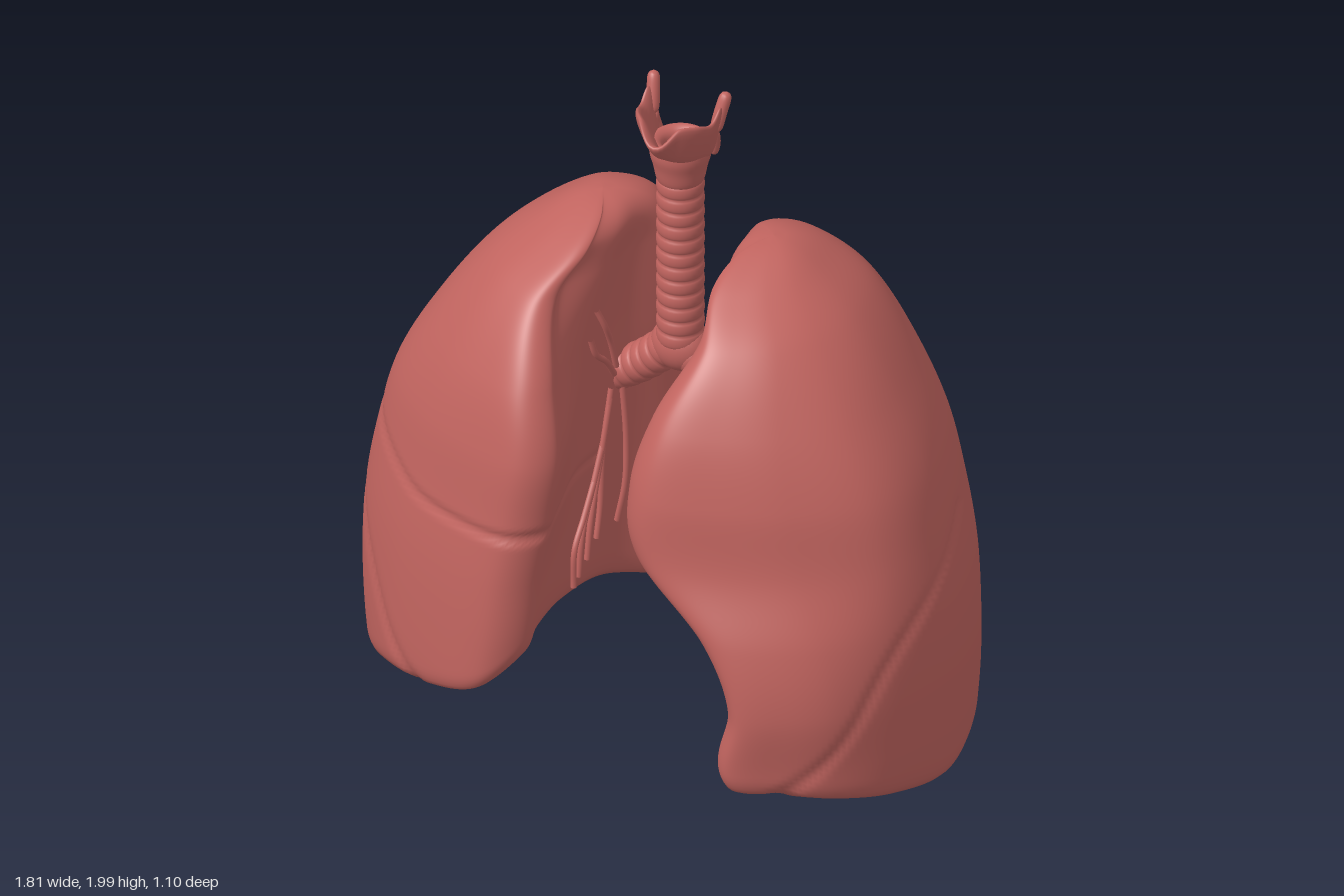
import * as THREE from 'three';

const tissue = new THREE.MeshStandardMaterial({ color: 0xc1645f });
tissue.name = 'tissue red';
const V = (x, y, z) => new THREE.Vector3(x, y, z);
const lerp = THREE.MathUtils.lerp;

// Smooth surface closed around u, open along v
function grid(nu, nv, point, flip = false) {
  const pos = [], idx = [];
  for (let j = 0; j <= nv; j++) for (let i = 0; i < nu; i++) pos.push(...point(i, j).toArray());
  for (let j = 0; j < nv; j++) for (let i = 0; i < nu; i++) {
    const a = j * nu + i, b = j * nu + (i + 1) % nu, c = a + nu, d = b + nu;
    if (flip) idx.push(a, c, b, b, c, d); else idx.push(a, b, c, b, d, c);
  }
  const g = new THREE.BufferGeometry();
  g.setAttribute('position', new THREE.Float32BufferAttribute(pos, 3));
  g.setIndex(idx);
  g.computeVertexNormals();
  return g;
}

function add(parent, name, geometry) {
  const m = new THREE.Mesh(geometry, tissue);
  m.name = name;
  parent.add(m);
  return m;
}

// Lung levels: y, medial back x, lateral x, back z, front z
const TOP = 1.57;
const LEVELS = [
  [1.57, .27, .27, -.13, -.13], [1.55, .195, .35, -.235, .0], [1.5, .15, .43, -.325, .13],
  [1.4, .125, .555, -.41, .275], [1.2, .115, .70, -.473, .42], [1.0, .115, .805, -.503, .485],
  [.8, .115, .86, -.518, .505], [.6, .115, .895, -.532, .525], [.4, .115, .905, -.54, .535],
  [.2, .12, .90, -.545, .53], [0, .14, .885, -.525, .50],
];
const HILUM = [.27, .2, .175, .19, .205, .21, .22, .235, .25, .27, .29];
const LUNGS = {
  leftLung: {
    side: 1, shift: -.004,
    front: [.27, .215, .2, .23, .15, .11, .14, .36, .455, .42, .47],
    rim: [.24, .17, .1, .06, .03, .01, .01, .05, .1, .13, .13, .15, .22, .29, .30],
  },
  rightLung: {
    side: -1, shift: .012,
    front: [.27, .215, .2, .23, .17, .125, .14, .17, .19, .23, .28],
    rim: [.24, .17, .1, .06, .05, .03, .02, .05, .12, .17, .24, .35, .37, .33, .31],
  },
};
const smoothLine = pts => new THREE.SplineCurve(pts.map(p => new THREE.Vector2(...p))).getPoints(14);
const OBLIQUE = smoothLine([[.48, .13], [.4, .25], [.25, .5], [.05, .68], [-.2, .81]]);
const HORIZONTAL = smoothLine([[.84, .88], [.8, .84], [.65, .775], [.5, .75], [.14, .77]]);

function distanceTo(line, a, b) {
  let best = 9;
  for (let i = 1; i < line.length; i++) {
    const { x, y } = line[i - 1], dx = line[i].x - x, dy = line[i].y - y;
    const t = THREE.MathUtils.clamp(((a - x) * dx + (b - y) * dy) / (dx * dx + dy * dy), 0, 1);
    best = Math.min(best, Math.hypot(a - x - t * dx, b - y - t * dy));
  }
  return best;
}

// Kidney-shaped horizontal outline with a thin front edge
function outline([, xi, xo, zb, zf], xh, xf, n) {
  const w = xo - xi, d = zf - zb;
  const pts = [
    [xi, .24], [xi + .03 * w, .14], [xi + .17 * w, .04], [xi + .42 * w, 0], [xi + .73 * w, .06],
    [xi + .9 * w, .2], [xo, .47], [xi + .94 * w, .69],
    [lerp(xf, xo, .68), .86], [lerp(xf, xo, .38), .96], [lerp(xf, xo, .13), 1],
    [xf, .93], [xf + .03 * w, .82], [xh, .6], [xh - .04 * w, .42],
  ].map(([x, f]) => V(x, 0, zb + f * d));
  const c = new THREE.CatmullRomCurve3(pts, true, 'catmullrom', .5);
  return Array.from({ length: n }, (_, i) => c.getPoint(i / n));
}

function lungGeometry({ side, shift, front, rim }) {
  const N = 180, ROWS = 120, UNDER = 22;
  const rings = LEVELS.map((l, k) => outline(l, HILUM[k], front[k], N));
  const q = LEVELS.map(l => Math.sqrt(TOP - l[0]));
  const rimCurve = new THREE.CatmullRomCurve3(rim.map(y => V(0, y, 0)), true, 'catmullrom', .5);
  const slope = (i, k, ax) => {
    const a = Math.max(k - 1, 0), b = Math.min(k + 1, q.length - 1);
    return (rings[b][i][ax] - rings[a][i][ax]) / (q[b] - q[a]);
  };
  // Cubic blend between the levels
  const section = (i, y) => {
    const s = Math.sqrt(Math.max(TOP - y, 0));
    let k = 0;
    while (k < q.length - 2 && s > q[k + 1]) k++;
    const h = q[k + 1] - q[k], t = (s - q[k]) / h, t2 = t * t, t3 = t2 * t;
    const at = ax => (2 * t3 - 3 * t2 + 1) * rings[k][i][ax] + (t3 - 2 * t2 + t) * h * slope(i, k, ax)
      + (3 * t2 - 2 * t3) * rings[k + 1][i][ax] + (t3 - t2) * h * slope(i, k + 1, ax);
    return V(at('x'), y, at('z'));
  };
  const cx = .5, cz = -.05;
  return grid(N, ROWS + UNDER, (i, j) => {
    const yb = Math.max(rimCurve.getPoint(i / N).y, 0);
    const y = TOP - (TOP - yb) * Math.min(j / ROWS, 1) ** 1.3;
    const p = section(i, y);
    // Rounded lower rim, then the hollow underside
    const e = THREE.MathUtils.clamp(1 - (y - yb) / .07, 0, 1);
    let scale = 1 - .06 * (1 - Math.sqrt(1 - e * e));
    if (j > ROWS) {
      const s = 1 - (j - ROWS) / UNDER;
      scale *= s;
      p.y = .39 + (yb - .39) * s * s;
    } else {
      // Fissures between the lobes
      let d = p.x > .45 ? distanceTo(OBLIQUE, p.z, y) : 9;
      if (side < 0 && p.z > 0) d = Math.min(d, distanceTo(HORIZONTAL, p.x, y));
      scale -= .022 * Math.exp(-((d / .013) ** 2));
    }
    return V(side * lerp(cx, p.x, scale), p.y, lerp(cz, p.z, scale) + shift);
  }, side < 0);
}

// Airway with cartilage rings
function ringedTube(curve, radius, count) {
  const nv = count * 8, frames = curve.computeFrenetFrames(nv);
  return grid(28, nv, (i, j) => {
    const a = i / 28 * Math.PI * 2;
    const r = radius * (.9 + .1 * Math.sqrt(Math.abs(Math.sin(j / 8 * Math.PI))));
    return curve.getPointAt(j / nv)
      .addScaledVector(frames.normals[j], r * Math.cos(a))
      .addScaledVector(frames.binormals[j], r * Math.sin(a));
  });
}

// Shield-like plate wrapped round the front, notched and leaning forward
function shieldGeometry() {
  const half = [[.1, -.12, 1.85, 1.95], [.1, -.1, 1.8, 1.965], [.093, -.06, 1.8, 1.935],
    [.076, -.015, 1.805, 1.95], [.045, .022, 1.815, 1.955]];
  const rows = [...half, [0, .048, 1.83, 1.895], ...half.map(([x, ...r]) => [-x, ...r]).reverse()];
  const plan = new THREE.CatmullRomCurve3(rows.map(r => V(r[0], 0, r[1])));
  const heights = new THREE.CatmullRomCurve3(rows.map(r => V(r[2], r[3], r[1])));
  const nv = 70;
  return grid(20, nv, (i, j) => {
    const t = j / nv, a = i / 20 * Math.PI * 2, p = plan.getPoint(t), h = heights.getPoint(t);
    const n = V(0, 1, 0).cross(plan.getTangent(t)).normalize();
    const thick = .015 * Math.max(0, Math.sin(Math.PI * t)) ** .25;
    const s = Math.sin(a), round = Math.sign(s) * Math.abs(s) ** .7;
    p.addScaledVector(n, thick * Math.cos(a) + (.012 + .014 * Math.sin(Math.PI * t)) * round);
    p.y = (h.x + h.y) / 2 + (h.y - h.x) / 2 * round;
    return p;
  });
}

// Rounded, tapering rod
function horn(points, radius) {
  const curve = new THREE.CatmullRomCurve3(points), frames = curve.computeFrenetFrames(24);
  return grid(14, 24, (i, j) => {
    const t = j / 24, a = i / 14 * Math.PI * 2, r = radius * Math.sqrt(Math.max(0, 1 - (2 * t - 1) ** 6));
    return curve.getPointAt(t)
      .addScaledVector(frames.normals[j], r * Math.cos(a))
      .addScaledVector(frames.binormals[j], r * Math.sin(a));
  });
}

export function createModel() {
  const model = new THREE.Group();
  model.name = 'lungs';
  for (const [name, spec] of Object.entries(LUNGS)) add(model, name, lungGeometry(spec));

  // Windpipe and larynx
  add(model, 'trachea', ringedTube(new THREE.LineCurve3(V(0, 1.17, -.08), V(0, 1.76, -.08)), .069, 13));
  const collar = [[.06, 1.70], [.07, 1.72], [.078, 1.76], [.088, 1.80], [.085, 1.835], [.07, 1.84],
    [.05, 1.82], [.045, 1.76], [.045, 1.70]];
  add(model, 'larynxCollar', new THREE.LatheGeometry(
    new THREE.SplineCurve(collar.map(c => new THREE.Vector2(...c))).getPoints(32), 36)).position.z = -.08;
  add(model, 'larynxShield', shieldGeometry());
  const fork = add(model, 'airwayFork', new THREE.SphereGeometry(.08, 28, 18));
  fork.position.set(0, 1.155, -.08);
  fork.scale.set(1.1, 1, .85);

  // Main bronchi and the fine branches at the root of each lung
  const branches = [
    [[.19, .98, -.04], [.2, .8, .03], [.2, .62, .06], [.22, .52, .1]],
    [[.19, .95, -.03], [.21, .75, .07], [.25, .6, .16], [.27, .48, .2]],
    [[.2, .85, .0], [.23, .7, .14], [.31, .58, .25], [.34, .45, .29]],
    [[.21, .72, .12], [.28, .63, .23], [.36, .55, .33], [.38, .43, .34]],
    [[.18, 1.05, -.06], [.18, 1.15, .0], [.18, 1.22, .06], [.2, 1.28, .1]],
    [[.18, 1.03, -.04], [.18, 1.1, .05], [.19, 1.14, .12], [.2, 1.2, .16]],
    [[.18, .98, -.12], [.17, .8, -.13], [.17, .65, -.12], [.19, .52, -.1]],
  ];
  for (const side of [1, -1]) {
    const label = side > 0 ? 'left' : 'right';
    add(model, label + 'UpperHorn', horn([
      V(side * .1, 1.88, -.1), V(side * .108, 1.94, -.118), V(side * .118, 2.0, -.138)], .019));
    add(model, label + 'LowerHorn', horn([
      V(side * .098, 1.89, -.1), V(side * .094, 1.84, -.115), V(side * .082, 1.79, -.125)], .014));
    add(model, label + 'Bronchus', ringedTube(new THREE.CatmullRomCurve3([
      V(0, 1.18, -.08), V(side * .07, 1.105, -.085), V(side * .15, 1.035, -.095), V(side * .3, .94, -.1),
    ]), .06, 9));
    branches.forEach((b, k) => {
      // The right lung has no heart notch, so its branches hug the root
      const pts = b.map(([x, y, z]) => V(side * (side > 0 ? x : Math.min(x, .195)), y, side > 0 ? z : z * .55));
      add(model, `${label}Branch${k + 1}`,
        new THREE.TubeGeometry(new THREE.CatmullRomCurve3(pts), 24, .009, 8));
    });
  }
  return model;
}
